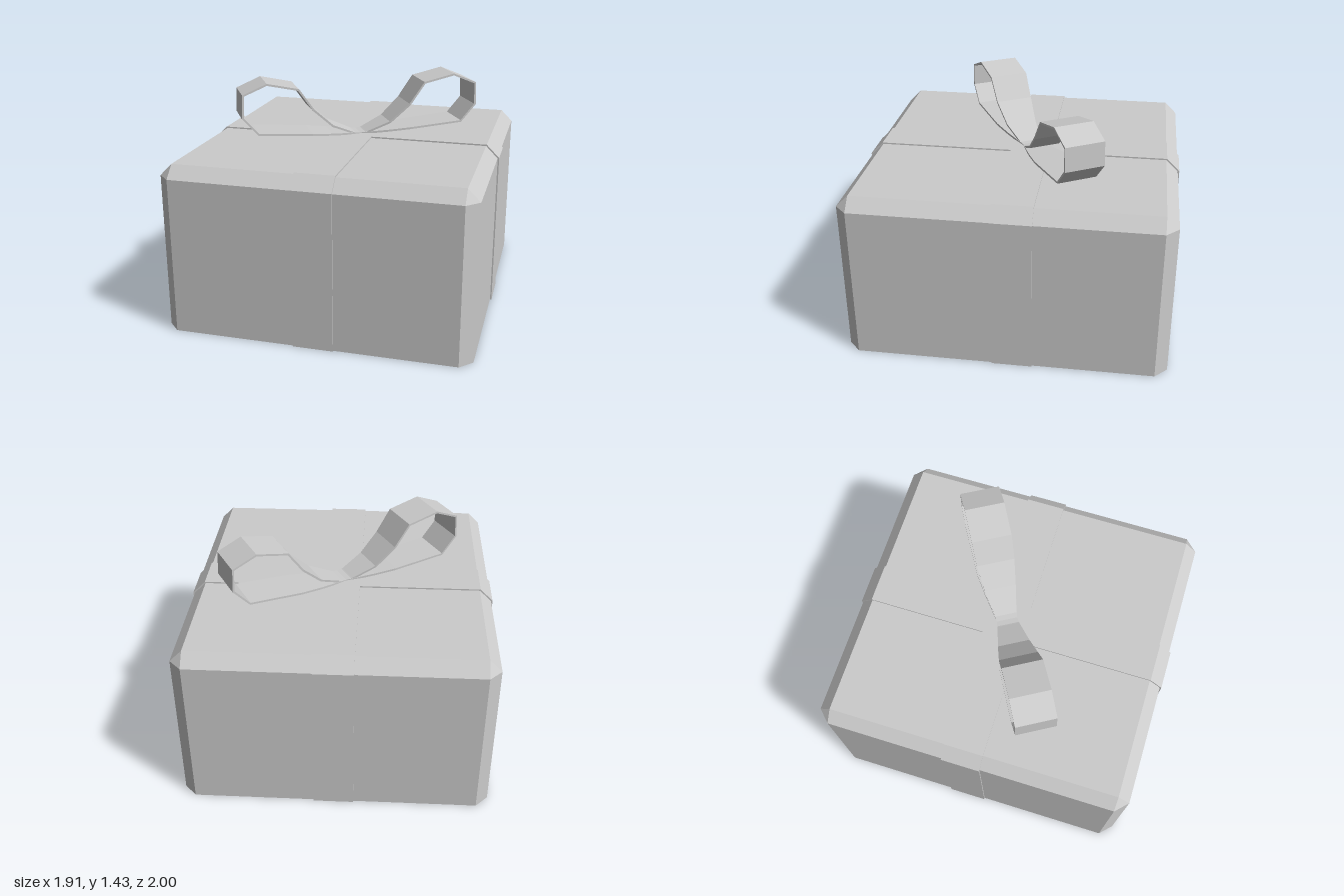
import * as THREE from 'three';

const X = 0.945, Z = 0.99, H = 1.05, C = 0.075; // box half sizes, height, chamfer
const CENTRE = [0.0075, -0.05];                 // where the ribbons cross
const RIBBON = 0.245;

const material = new THREE.MeshStandardMaterial({
  color: 0xcccccc, flatShading: true, side: THREE.DoubleSide,
});

function named(name, geometry) {
  const mesh = new THREE.Mesh(geometry, material);
  mesh.name = name;
  return mesh;
}

// Joins successive closed rings of Vector3 with faces, dropping empty triangles
function skin(rings) {
  const points = [];
  const tri = (a, b, c) => {
    if (!a.equals(b) && !b.equals(c) && !c.equals(a)) points.push(a, b, c);
  };
  for (let i = 0; i < rings.length - 1; i++) {
    const lo = rings[i], hi = rings[i + 1], n = lo.length;
    for (let j = 0; j < n; j++) {
      const k = (j + 1) % n;
      tri(lo[j], hi[j], hi[k]);
      tri(lo[j], hi[k], lo[k]);
    }
  }
  const geometry = new THREE.BufferGeometry().setFromPoints(points);
  geometry.computeVertexNormals();
  return geometry;
}

// Chamfered box shell, open underneath
function boxGeometry() {
  const ring = (x, z, y) => {
    const a = X - C, b = Z - C;
    return [[x, -b], [x, b], [a, z], [-a, z], [-x, b], [-x, -b], [-a, -z], [a, -z]]
      .map(([px, pz]) => new THREE.Vector3(px, y, pz));
  };
  const middle = Array.from({ length: 8 }, () => new THREE.Vector3(0, H, 0));
  return skin([ring(X, Z, 0), ring(X, Z, H - C), ring(X - C, Z - C, H), middle]);
}

// Thin strip running up one side, over the top and down the other
function bandGeometry(half) {
  const outline = (t) => {
    const side = [[half + t, 0], [half + t, H - C + 0.4 * t], [half - C + 0.4 * t, H + t]];
    return [...side, ...side.map(([x, y]) => [-x, y]).reverse()];
  };
  const path = [...outline(0.01), ...outline(0.001).reverse()];
  const shape = new THREE.Shape(path.map(([x, y]) => new THREE.Vector2(x, y)));
  return new THREE.ExtrudeGeometry(shape, { depth: RIBBON, bevelEnabled: false })
    .translate(0, 0, -RIBBON / 2);
}

// One bow loop: stations of [distance from centre, height, width]
function loopGeometry() {
  const stations = [
    [0.0, 1.055, 0.13], [0.04, 1.07, 0.14], [0.19, 1.135, 0.2], [0.317, 1.25, 0.24],
    [0.416, 1.39, 0.25], [0.62, 1.435, 0.25], [0.775, 1.37, 0.25], [0.782, 1.22, 0.25],
    [0.68, 1.105, 0.25], [0.33, 1.078, 0.24], [0.19, 1.066, 0.2], [0.0, 1.052, 0.13],
  ];
  const thickness = 0.013;
  const rings = stations.map(([s, y, w], i) => {
    const p = stations[Math.max(i - 1, 0)];
    const q = stations[Math.min(i + 1, stations.length - 1)];
    const n = new THREE.Vector2(p[1] - q[1], q[0] - p[0]).normalize().multiplyScalar(thickness);
    const point = (depth, side) =>
      new THREE.Vector3(s - n.x * depth, y - n.y * depth, side * w / 2);
    return [point(0, 1), point(0, -1), point(1, -1), point(1, 1)];
  });
  return skin(rings);
}

export function createModel() {
  const model = new THREE.Group();
  model.name = 'giftBox';
  model.add(named('box', boxGeometry()));

  // Ribbon bands crossing on the lid
  const sideBand = named('sideToSideBand', bandGeometry(X));
  sideBand.position.z = CENTRE[1];
  const frontBand = named('frontToBackBand', bandGeometry(Z));
  frontBand.rotation.y = Math.PI / 2;
  frontBand.position.x = CENTRE[0];
  model.add(sideBand, frontBand);

  // Bow of two opposite loops, turned across the lid
  const bow = new THREE.Group();
  bow.name = 'bow';
  bow.position.set(CENTRE[0], 0, CENTRE[1]);
  bow.rotation.y = Math.PI / 6;
  const loop = loopGeometry();
  ['leftLoop', 'rightLoop'].forEach((name, i) => {
    const mesh = named(name, loop);
    mesh.rotation.y = i * Math.PI;
    bow.add(mesh);
  });
  model.add(bow);
  return model;
}
